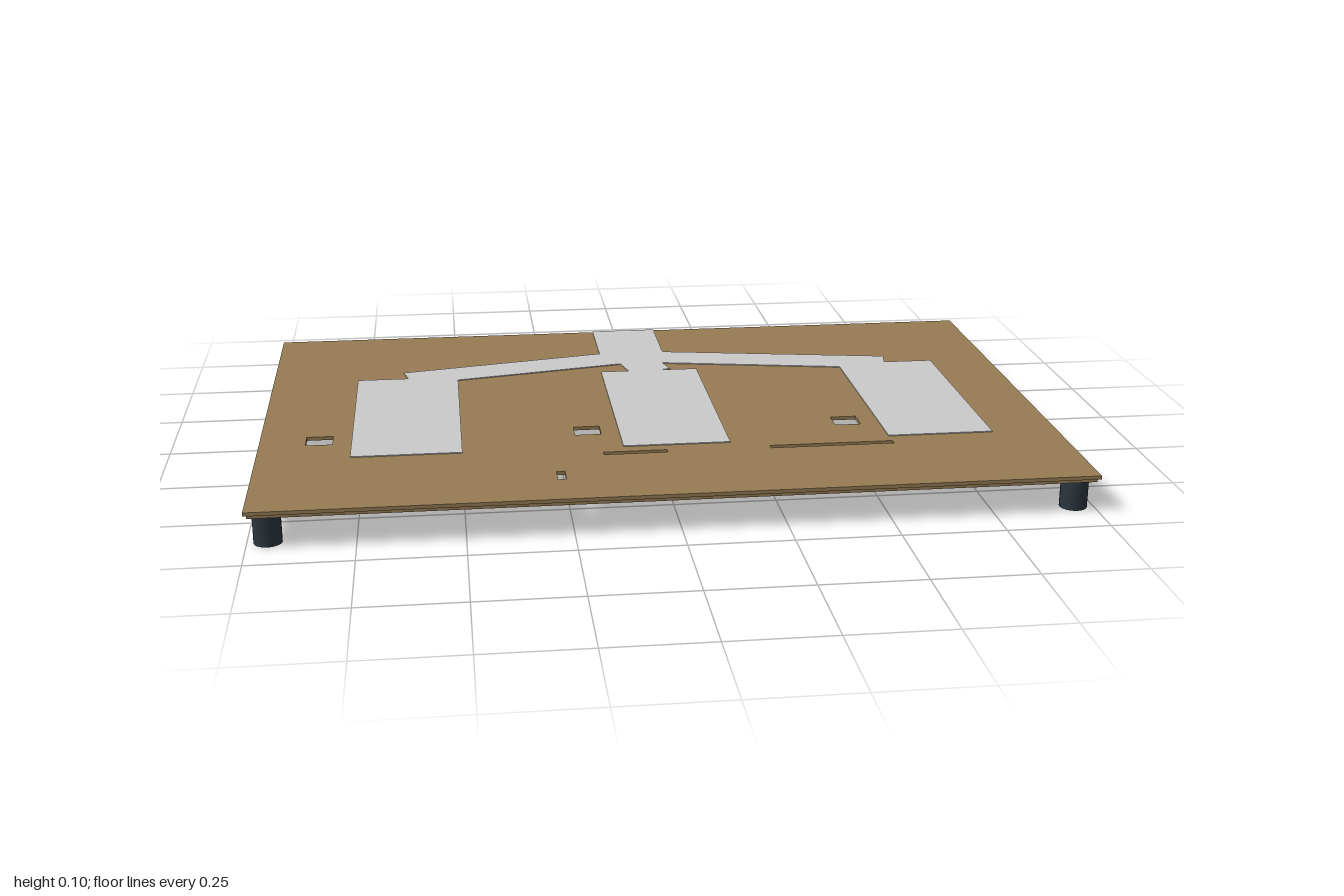
import * as THREE from 'three';

const wood = new THREE.MeshStandardMaterial({ name: 'brown board', color: 0x967b54 });
const grey = new THREE.MeshStandardMaterial({ name: 'light grey', color: 0xcacaca });
const rubber = new THREE.MeshStandardMaterial({ name: 'dark slate', color: 0x2b353d });

const path = (pts) => pts.map(([x, z]) => new THREE.Vector2(x, z));
const rect = (x0, x1, z0, z1) => path([[x0, z0], [x1, z0], [x1, z1], [x0, z1]]);

// Horizontal slab from an outline in x and z, with its upper face at y = top
function slab(name, outline, holes, top, thickness, material) {
  const shape = new THREE.Shape(outline);
  shape.holes = holes.map((h) => new THREE.Path(h));
  const geometry = new THREE.ExtrudeGeometry(shape, { depth: thickness, bevelEnabled: false });
  geometry.rotateX(Math.PI / 2);
  const mesh = new THREE.Mesh(geometry, material);
  mesh.name = name;
  mesh.position.y = top;
  return mesh;
}

export function createModel() {
  const model = new THREE.Group();
  model.name = 'boardOnFeet';

  // Board with square openings and narrow slots
  const openings = [-0.852, -0.183, 0.483].map((x) => rect(x - 0.033, x + 0.033, 0.175, 0.235));
  openings.push(
    rect(-0.157, 0, 0.368, 0.385),
    rect(0.257, 0.567, 0.368, 0.385),
    rect(-0.28, -0.26, 0.488, 0.54)
  );
  model.add(slab('board', rect(-1, 1, -0.667, 0.667), openings, 0.093, 0.009, wood));

  // Frame under the board, slightly inset from its edge
  model.add(slab('underFrame', rect(-0.993, 0.993, -0.66, 0.66),
    [rect(-0.91, 0.91, -0.577, 0.577)], 0.084, 0.009, wood));

  // Flat track that splits into three branches, each ending in a wide lane
  const track = path([
    [-0.093, -0.667], [0.089, -0.667], [0.089, -0.44],
    [0.71, -0.324], [0.70, -0.27], [0.833, -0.27], [0.833, 0.335], [0.565, 0.335], [0.565, -0.24],
    [0.075, -0.335], [0.09, -0.28], [0.06, -0.27],
    [0.163, -0.27], [0.163, 0.335], [-0.104, 0.335], [-0.104, -0.27], [-0.027, -0.27], [-0.043, -0.338],
    [-0.5, -0.243], [-0.5, 0.335], [-0.772, 0.335], [-0.772, -0.27], [-0.635, -0.27],
    [-0.648, -0.324], [-0.093, -0.44]
  ]);
  model.add(slab('track', track, [], 0.0955, 0.0025, grey));

  // Four round feet
  const footGeometry = new THREE.CylinderGeometry(0.033, 0.033, 0.075, 32);
  for (const x of [-0.952, 0.952]) {
    for (const z of [-0.619, 0.619]) {
      const foot = new THREE.Mesh(footGeometry, rubber);
      foot.name = 'foot';
      foot.position.set(x, 0.0375, z);
      model.add(foot);
    }
  }
  return model;
}
